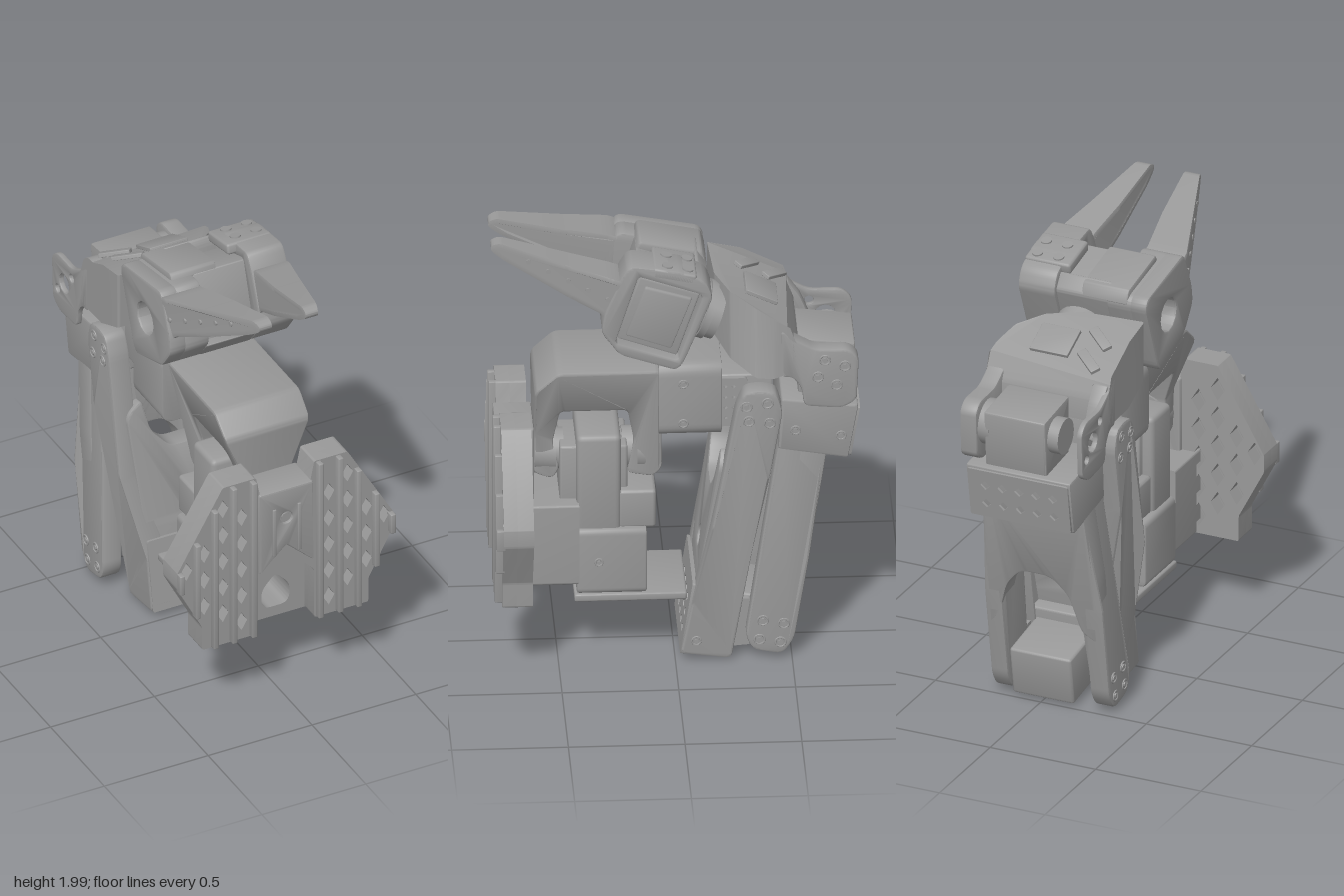
import * as THREE from 'three';
import { toCreasedNormals } from 'three/addons/utils/BufferGeometryUtils.js';
import { RoundedBoxGeometry } from 'three/addons/geometries/RoundedBoxGeometry.js';

const grey = new THREE.MeshStandardMaterial({ color: 0x999999 });
grey.name = 'printed grey';
const { lerp, clamp, smoothstep: step } = THREE.MathUtils;

// polygon with rounded corners
function roundPoly(pts, r, Type = THREE.Shape) {
  const s = new Type(), n = pts.length;
  pts.forEach((p, i) => {
    const c = new THREE.Vector2(...p);
    const a = new THREE.Vector2(...pts[(i + n - 1) % n]), b = new THREE.Vector2(...pts[(i + 1) % n]);
    const from = (q) => q.clone().sub(c).setLength(Math.min(r, q.distanceTo(c) * 0.45)).add(c);
    const u = from(a), v = from(b);
    if (i === 0) s.moveTo(u.x, u.y); else s.lineTo(u.x, u.y);
    s.quadraticCurveTo(c.x, c.y, v.x, v.y);
  });
  s.closePath();
  return s;
}
const circle = (x, y, r) => new THREE.Path().absarc(x, y, r, 0, Math.PI * 2, true);
const diamond = (x, y, w, h) => new THREE.Path().setFromPoints(
  [[x, y - h], [x + w, y], [x, y + h], [x - w, y], [x, y - h]].map((p) => new THREE.Vector2(...p)));

function extrude(shape, depth, bevel) {
  return new THREE.ExtrudeGeometry(shape, {
    depth: depth - 2 * bevel, bevelEnabled: bevel > 0, bevelSize: bevel, bevelOffset: -bevel,
    bevelThickness: bevel, bevelSegments: 2, curveSegments: 6,
  }).translate(0, 0, bevel);
}

export function createModel() {
  const root = new THREE.Group();
  root.name = 'folded robot arm';
  const add = (name, geo, parent = root) => {
    const m = new THREE.Mesh(toCreasedNormals(geo, 0.55), grey);
    m.name = name;
    parent.add(m);
    return m;
  };
  // profile of [z, y] points running from x0 to x1; rule may move x
  const side = (name, pts, x0, x1, { r = 0.02, bevel = 0.01, holes = [], rule } = {}) => {
    const s = roundPoly(pts, r);
    s.holes.push(...holes);
    const g = extrude(s, x1 - x0, bevel).rotateY(-Math.PI / 2).translate(x1, 0, 0);
    if (rule) {
      const p = g.attributes.position;
      for (let i = 0; i < p.count; i++) p.setX(i, rule(p.getX(i), p.getY(i), p.getZ(i)));
      g.computeVertexNormals();
    }
    return add(name, g);
  };
  // outline of [x, y] points running from z0 to z1
  const front = (name, pts, z0, z1, { r = 0.01, bevel = 0, holes = [], parent } = {}) => {
    const s = roundPoly(pts, r);
    s.holes.push(...holes);
    return add(name, extrude(s, z1 - z0, bevel).translate(0, 0, z0), parent);
  };
  const box = (name, x0, x1, y0, y1, z0, z1, r = 0.015, parent = root) => add(name,
    new RoundedBoxGeometry(x1 - x0, y1 - y0, z1 - z0, 2, r)
      .translate((x0 + x1) / 2, (y0 + y1) / 2, (z0 + z1) / 2), parent);
  const discX = (name, x0, x1, y, z, r) => add(name,
    new THREE.CylinderGeometry(r, r, x1 - x0, 24).rotateZ(Math.PI / 2).translate((x0 + x1) / 2, y, z));
  const discZ = (name, z0, z1, x, y, r, parent = root) => add(name,
    new THREE.CylinderGeometry(r, r, z1 - z0, 24).rotateX(Math.PI / 2).translate(x, y, (z0 + z1) / 2), parent);
  // screw ring with a head, on a face looking along x
  const screw = (x, y, z, r = 0.022) => {
    add('screw rim', new THREE.TorusGeometry(r, 0.004, 6, 18).rotateY(Math.PI / 2).translate(x, y, z));
    discX('screw head', x - 0.005, x + 0.005, y, z, r * 0.5);
  };
  const tilted = (name, deg, y, z) => {
    const g = new THREE.Group();
    g.name = name;
    g.position.set(0, y, z);
    g.rotation.x = -deg * Math.PI / 180;
    root.add(g);
    return g;
  };

  // ---- mounting plate: two ribbed wings with diamond pockets and central notches
  const rim = (x) => [lerp(0.49, 0.72, (x - 0.4) / 0.12), lerp(1.18, 0.8, (x - 0.3) / 0.22)];
  const lattice = (w, h) => [-1, 1].flatMap((s) => [0.21, 0.3, 0.39, 0.475].flatMap((x, c) => {
    const [lo, hi] = rim(x), out = [];
    for (let y = 0.46 + (c % 2) * 0.07; y < 1.12; y += 0.135)
      if (y > Math.max(lo, 0.4) + 0.055 && y < hi - 0.06) out.push(diamond(s * x, y, w, h));
    return out;
  }));
  const plate = [[-0.4, 0.37], [-0.14, 0.37], [-0.14, 0.62], [0, 0.77], [0.14, 0.62], [0.14, 0.37], [0.4, 0.37],
    [0.4, 0.49], [0.52, 0.72], [0.52, 0.8], [0.3, 1.18], [0.14, 1.18], [0.12, 1.08], [-0.12, 1.08], [-0.14, 1.18],
    [-0.3, 1.18], [-0.52, 0.8], [-0.52, 0.72], [-0.4, 0.49]];
  front('plate back', plate, 0.62, 0.69, { holes: lattice(0.034, 0.054) });
  front('plate face', plate, 0.69, 0.75, { holes: lattice(0.027, 0.046) });
  for (const s of [-1, 1]) for (const x of [0.16, 0.255, 0.345, 0.43, 0.507]) {
    const [lo, hi] = rim(x), y0 = x < 0.4 ? 0.375 : lo + 0.01, y1 = x < 0.3 ? 1.175 : hi - 0.02;
    box('plate rib', s * x - 0.012, s * x + 0.012, y0, y1, 0.74, 0.78, 0.004);
  }
  front('plate centre', [[-0.13, 0.68], [0, 0.8], [0.13, 0.68], [0.13, 1.09], [-0.13, 1.09]], 0.6, 0.765,
    { bevel: 0.008, holes: [circle(0, 0.94, 0.03)] });
  discZ('centre screw', 0.7, 0.755, 0, 0.94, 0.018);
  for (const x of [-0.06, 0.06]) box('centre rib', x - 0.008, x + 0.008, 0.76, 1, 0.76, 0.772, 0.003);

  // ---- base: hollow body with a cable hole, and the turning motor
  const drop = () => roundPoly([[-0.07, 0.46], [-0.05, 0.42], [0.05, 0.42], [0.07, 0.46], [0.065, 0.52], [0, 0.59],
    [-0.065, 0.52]], 0.03, THREE.Path);
  front('base neck', [[-0.2, 0.37], [0.2, 0.37], [0.2, 0.75], [-0.2, 0.75]], 0.41, 0.66, { holes: [drop()] });
  front('base body', [[-0.2, 0.32], [0.2, 0.32], [0.2, 0.63], [-0.2, 0.63]], 0.12, 0.42,
    { r: 0.03, bevel: 0.01, holes: [drop()] });
  box('base tower', -0.18, 0.18, 0.6, 1.07, 0.23, 0.42, 0.025);
  box('base motor', -0.13, 0.13, 0.63, 1.0, 0.2, 0.49, 0.01);
  box('base rear block', -0.17, 0.17, 0.62, 0.8, 0.08, 0.24, 0.015);
  box('base floor', -0.2, 0.2, 0.285, 0.32, -0.05, 0.43, 0.008);
  screw(0.2, 0.475, 0.325, 0.016);
  discZ('front horn', 0.47, 0.61, 0, 0.93, 0.09);
  discZ('rear horn', 0.06, 0.22, 0, 0.93, 0.09);

  // ---- shoulder yoke: arch over the base motor, narrowing downward
  const narrow = (x, y) => x * lerp(0.48, 1, step(y, 1.0, 1.34));
  side('shoulder yoke', [[0.6, 1.3], [0.5, 1.39], [0.06, 1.39], [0.05, 0.87], [0.09, 0.83], [0.2, 0.85], [0.17, 1.0],
    [0.2, 1.18], [0.49, 1.18], [0.52, 1.0], [0.49, 0.88], [0.52, 0.83], [0.6, 0.86], [0.6, 1.05]],
  -0.21, 0.2, { r: 0.025, rule: narrow });
  for (const z of [0.11, 0.55]) discZ('yoke hub', z - 0.045, z + 0.045, 0, 0.93, 0.105);
  front('shoulder motor holder', [[-0.24, 1.075], [0.21, 1.075], [0.21, 1.42], [-0.24, 1.42]], -0.2, 0.07,
    { r: 0.06, bevel: 0.004 });
  box('shoulder motor', -0.17, 0.17, 1.12, 1.35, -0.42, -0.15, 0.01);
  const perf = [];
  for (let i = 0; i < 4; i++) for (const z of [-0.215, -0.25]) perf.push(diamond(z, 1.16 + i * 0.05, 0.01, 0.01));
  side('holder cheek', [[-0.18, 1.12], [-0.31, 1.12], [-0.31, 1.35], [-0.18, 1.35]], 0.185, 0.205, { bevel: 0, holes: perf });
  for (const y of [1.14, 1.33]) screw(0.21, y, -0.035, 0.018);

  // ---- upper arm: two cheeks spreading apart upward, with a notched web between
  const upper = [[-0.02, 0.04], [-0.24, 0.01], [-0.325, 0.5], [-0.4, 0.93], [-0.455, 1.24], [-0.43, 1.33], [-0.36, 1.345],
    [-0.29, 1.335], [-0.255, 1.25], [-0.15, 0.68], [-0.073, 0.3]];
  const flare = (x, y, z) => x + Math.sign(x) * 0.09 * clamp((y + z - 0.2) / 0.33, 0, 1);
  for (const [x0, x1] of [[-0.24, -0.14], [0.13, 0.23]])
    side('upper arm cheek', upper, x0, x1, { r: 0.03, rule: flare });
  const ua = tilted('upper arm web', 9, 0.01, -0.13);
  front('notched web', [[-0.235, 0.01], [0.225, 0.01], [0.225, 0.4], [0.27, 0.95], [0.2, 1.02], [0.17, 0.86], [0.08, 0.76],
    [-0.08, 0.76], [-0.17, 0.86], [-0.2, 1.02], [-0.28, 0.95], [-0.235, 0.4]], -0.03, 0.095,
  { r: 0.04, bevel: 0.01, holes: [circle(0, 0.475, 0.045)], parent: ua });
  const grid = [];
  for (let r = 0; r < 3; r++) for (let c = 0; c < 4; c++) grid.push(diamond(-0.115 + c * 0.08, 0.09 + r * 0.075, 0.022, 0.022));
  front('perforated holder face', [[-0.235, 0.01], [0.225, 0.01], [0.225, 0.35], [-0.235, 0.35]], 0.09, 0.112,
    { holes: grid, parent: ua });
  box('elbow motor holder', -0.2, 0.2, 0.01, 0.34, -0.09, 0.04, 0.01, ua);
  box('elbow motor', -0.15, 0.14, 0.065, 0.29, -0.35, -0.05, 0.012, ua);
  side('elbow cheek', [[-0.2, 0.04], [-0.33, 0.05], [-0.33, 0.27], [-0.22, 0.27]], 0.15, 0.175, { bevel: 0 });
  for (const [z, y] of [[-0.09, 0.1], [-0.125, 0.29]]) screw(0.23, y, z, 0.019);
  for (const [z, y] of [[-0.3, 1.27], [-0.39, 1.285], [-0.31, 1.2], [-0.4, 1.19]])
    for (const x of [-0.33, 0.32]) screw(x, y, z);

  // ---- forearm: cheeks reaching down to the elbow, arched web, wrist motor box
  const fore = [[-0.45, 1.08], [-0.435, 1.0], [-0.3, 0.12], [-0.33, 0.05], [-0.46, 0.025], [-0.51, 0.1], [-0.575, 0.5],
    [-0.64, 0.98], [-0.64, 1.08]];
  side('forearm right cheek', fore, 0.15, 0.23, { r: 0.035, rule: (x, y) => x - 0.02 * step(y, 0.6, 1.0) });
  side('forearm left cheek', fore, -0.33, -0.24, { r: 0.035, rule: (x, y) => x + 0.06 * step(y, 0.6, 1.0) });
  const fa = tilted('forearm web', 8.7, 0.02, -0.42);
  front('arched web', [[-0.3, 0.35], [-0.22, 0.4], [-0.17, 0.58], [-0.09, 0.66], [0.05, 0.66], [0.12, 0.58], [0.17, 0.4],
    [0.22, 0.35], [0.21, 1.05], [-0.27, 1.05], [-0.3, 0.65]], -0.08, 0.04, { r: 0.04, bevel: 0.01, parent: fa });
  side('wrist motor box', [[-0.455, 1.25], [-0.785, 1.215], [-0.74, 0.96], [-0.44, 1.01]], -0.275, 0.22, { r: 0.015 });
  const wb = tilted('box rear holes', 9.5, 0.96, -0.74);
  const rear = [];
  for (let r = 0; r < 2; r++) for (let c = 0; c < 5; c++) rear.push(diamond(-0.19 + c * 0.08, 0.08 + r * 0.09, 0.022, 0.022));
  front('perforated rear face', [[-0.265, 0.01], [0.21, 0.01], [0.21, 0.245], [-0.265, 0.245]], -0.012, 0.004,
    { holes: rear, parent: wb });
  for (const [z, y] of [[-0.515, 1.1], [-0.71, 1.07]]) screw(0.22, y, z, 0.019);
  for (const [z, y] of [[-0.375, 0.19], [-0.465, 0.175], [-0.36, 0.1], [-0.45, 0.085]])
    for (const x of [-0.33, 0.23]) screw(x, y, z);

  // ---- wrist: motor, fork around it and a body curving in to the roll motor
  side('wrist motor', [[-0.53, 1.5], [-0.775, 1.47], [-0.755, 1.2], [-0.53, 1.2]], -0.15, 0.14, { r: 0.01 });
  discX('wrist right hub', 0.12, 0.18, 1.38, -0.67, 0.1);
  discX('wrist left hub', -0.2, -0.13, 1.38, -0.67, 0.08);
  const arm = [[-0.45, 1.6], [-0.51, 1.55], [-0.6, 1.5], [-0.74, 1.5], [-0.785, 1.46], [-0.775, 1.25], [-0.71, 1.215],
    [-0.55, 1.23], [-0.54, 1.32], [-0.5, 1.37], [-0.45, 1.37]];
  side('wrist right fork', arm, 0.17, 0.25, { r: 0.03 });
  side('wrist left fork', arm, -0.33, -0.305, { r: 0.03, bevel: 0.005,
    holes: [circle(-0.67, 1.38, 0.045), circle(-0.6, 1.45, 0.02), circle(-0.73, 1.32, 0.02)] });
  side('wrist fork gusset', [[-0.5, 1.58], [-0.56, 1.5], [-0.62, 1.35], [-0.54, 1.34], [-0.5, 1.39]], -0.32, -0.25);
  for (const [z, y] of [[-0.64, 1.45], [-0.725, 1.42], [-0.61, 1.37], [-0.69, 1.33]]) screw(0.25, y, z);
  // plan outline of [x, z], lifted between a lower and an upper profile
  const curve = (table, z) => {
    const i = Math.max(1, table.findIndex((p) => p[0] >= z));
    const [a, b] = [table[i - 1], table[i]];
    return lerp(a[1], b[1], clamp((z - a[0]) / (b[0] - a[0]), 0, 1));
  };
  const upperY = [[-0.53, 1.5], [-0.49, 1.61], [-0.31, 1.7], [-0.1, 1.745]];
  const lowerY = [[-0.53, 1.4], [-0.39, 1.36], [-0.1, 1.49]];
  const plan = roundPoly([[-0.33, -0.53], [-0.33, -0.49], [-0.33, -0.31], [-0.33, -0.165], [-0.05, -0.18], [0.1, -0.24],
    [0.2, -0.34], [0.24, -0.43], [0.25, -0.49], [0.25, -0.53]].map(([x, z]) => [x, -z]), 0.012);
  const wrist = extrude(plan, 1, 0).rotateX(-Math.PI / 2);
  const wp = wrist.attributes.position;
  for (let i = 0; i < wp.count; i++) {
    const t = wp.getY(i), x = wp.getX(i), z = wp.getZ(i);
    wp.setY(i, lerp(curve(lowerY, z), curve(upperY, z), t));
    wp.setX(i, x + (1 - t) * 0.07 * step(x, -0.2, 0.05) * step(z, -0.49, -0.3));
  }
  wrist.computeVertexNormals();
  add('wrist body', wrist);
  const top = tilted('wrist top details', 25, 1.661, -0.4);
  box('raised panel', -0.1, 0.08, -0.01, 0.008, -0.05, 0.1, 0.003, top);
  for (const z of [-0.05, 0.08]) {
    const bar = box('angled bar', -0.07, 0.07, -0.01, 0.008, -0.022, 0.022, 0.003, top);
    bar.position.set(-0.2, 0, z);
    bar.rotation.y = -0.7;
  }

  // ---- gripper: motor, fixed jaw at -x, moving jaw at +x
  const gr = tilted('roll joint', 20, 1.6, -0.1);
  discZ('roll horn', -0.1, 0.08, 0, 0, 0.12, gr);
  discZ('roll collar', -0.06, -0.03, 0, 0, 0.13, gr);
  const frame = [[0.2, 1.935], [-0.02, 1.905], [-0.13, 1.855], [-0.16, 1.78], [-0.03, 1.46], [0.0, 1.43], [0.24, 1.51],
    [0.32, 1.62], [0.31, 1.7], [0.24, 1.87]];
  const low = [[0.22, 1.885], [-0.13, 1.82], [-0.15, 1.78], [-0.03, 1.46], [0.0, 1.43], [0.24, 1.51], [0.32, 1.62],
    [0.31, 1.7], [0.25, 1.85]];
  const slot = () => roundPoly([[0.16, 1.885], [-0.115, 1.79], [-0.01, 1.48], [0.26, 1.57]], 0.02, THREE.Path);
  side('fixed jaw outer wall', low, -0.33, -0.25, { r: 0.03, holes: [circle(0.08, 1.66, 0.075)] });
  side('fixed jaw inner wall', low, -0.26, -0.14, { r: 0.03 });
  side('fixed jaw cap', [[0.14, 1.9], [-0.13, 1.845], [-0.15, 1.78], [0.16, 1.86]], -0.24, -0.02, { r: 0.015 });
  side('fixed jaw shelf', [[-0.03, 1.46], [0, 1.43], [0.24, 1.51], [0.31, 1.6], [-0.06, 1.52]], -0.15, 0.1, { r: 0.015 });
  side('fixed jaw back', [[-0.1, 1.86], [-0.15, 1.79], [-0.03, 1.46], [0.02, 1.46], [-0.08, 1.83]], -0.15, 0.1, { r: 0.015 });
  side('gripper motor', [[0.155, 1.875], [-0.105, 1.785], [-0.005, 1.49], [0.25, 1.58]], -0.14, 0.25, { r: 0.01 });
  side('gripper motor cover', [[0.13, 1.83], [-0.07, 1.77], [0.02, 1.53], [0.215, 1.6]], 0.23, 0.265, { r: 0.01 });
  side('moving jaw frame', frame, 0.1, 0.275, { r: 0.03, holes: [slot()] });
  // fingers taper in plan: each edge is a function of z
  const finger = [[0.28, 1.88], [0.456, 1.922], [0.75, 2.0], [0.785, 1.985], [0.785, 1.96], [0.73, 1.92], [0.456, 1.77],
    [0.31, 1.7], [0.3, 1.64], [0.25, 1.65], [0.22, 1.86]];
  const taper = (outer, inner) => (x, y, z) => {
    const t = Math.max(0, (z - 0.26) / 0.53);
    return lerp(lerp(inner, 0.08, Math.min(1, t * 1.5)), lerp(outer, 0.14, t), Math.abs(x)) * Math.sign(x + 1e-6);
  };
  side('moving jaw finger', finger, 0, 1, { bevel: 0.02, rule: taper(0.275, 0.11) });
  side('fixed jaw finger', finger, -1, 0, { bevel: 0.02, rule: (x, y, z) => -taper(0.33, 0.14)(-x, y, z) });
  for (let i = 0; i < 5; i++) {
    const z = 0.29 + i * 0.084, y = 1.777 + i * 0.037, t = (z - 0.26) / 0.53;
    discX('finger pin', lerp(0.275, 0.14, t) - 0.03, lerp(0.275, 0.14, t) + 0.004, y, z, 0.011);
    discX('finger pin', -lerp(0.33, 0.14, t) - 0.004, -lerp(0.33, 0.14, t) + 0.03, y, z, 0.011);
  }
  // moving jaw hub on top of the motor
  const hub = tilted('moving jaw hub', 12, 1.885, 0);
  box('hub plate', 0.06, 0.275, -0.03, 0.02, -0.09, 0.1, 0.012, hub);
  for (const x of [0.13, 0.23]) for (const z of [-0.05, 0.04])
    add('hub screw', new THREE.CylinderGeometry(0.024, 0.024, 0.01, 16).translate(x, 0.022, z), hub);
  return root;
}
